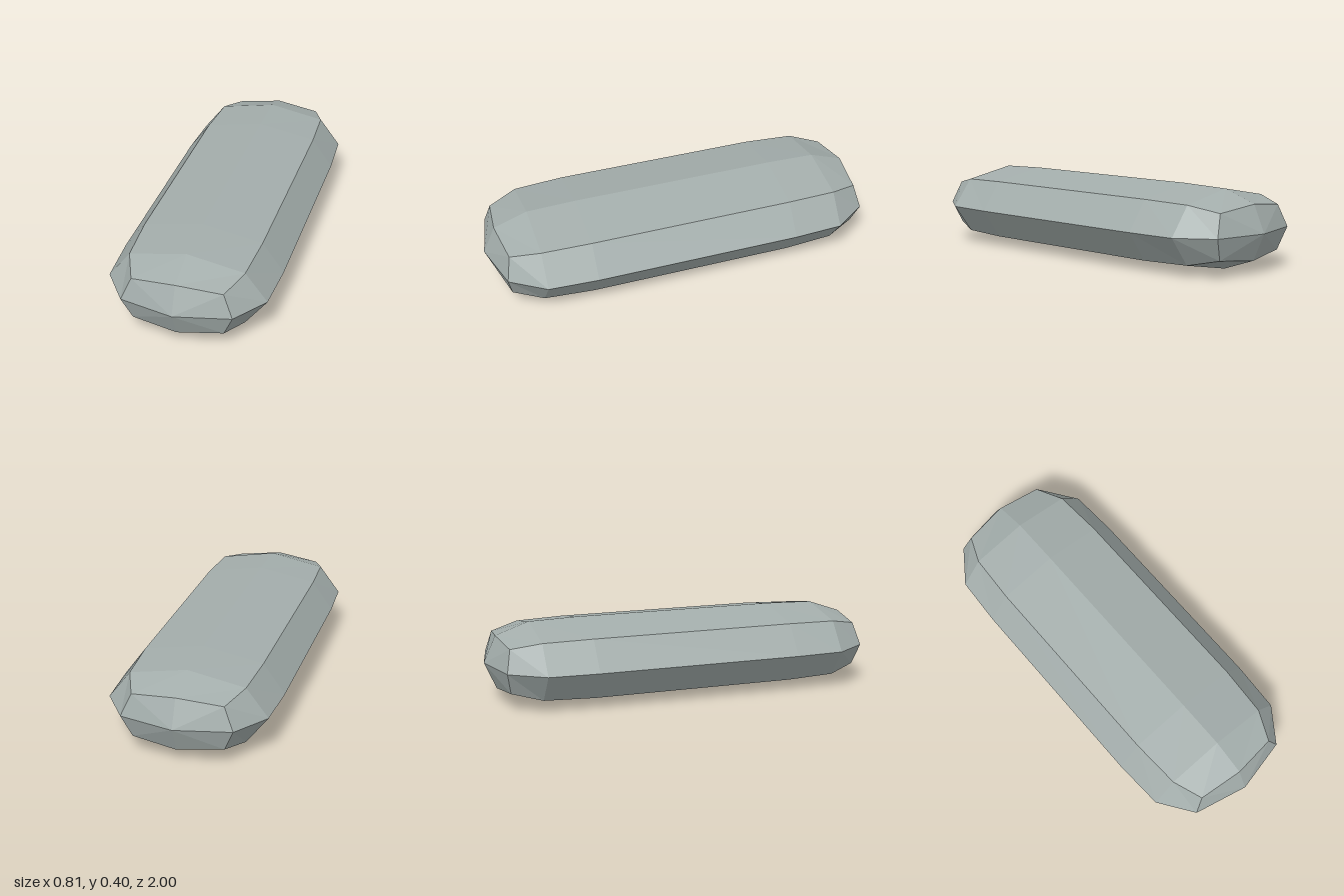
import * as THREE from 'three';

const MID = 0.2; // height of the widest line

// Half an end's cross-sections, from the middle outwards.
// Each holds three [x, y, z] points: side, shoulder and crown.
const SECTIONS = [
  [[0.403, 0, 0.52], [0.296, 0.147, 0.52], [0, 0.2, 0.52]],
  [[0.39, 0, 0.77], [0.282, 0.141, 0.77], [0, 0.193, 0.77]],
  [[0.27, 0, 0.94], [0.222, 0.11, 0.915], [0, 0.134, 0.94]],
];

// Mirror a section into a closed ring of eight points, at the front or back end
function ring([side, shoulder, crown], end) {
  const point = ([x, y, z], sx, sy) => new THREE.Vector3(x * sx, MID + y * sy, z * end);
  return [
    point(side, 1, 1), point(shoulder, 1, 1), point(crown, 1, 1), point(shoulder, -1, 1),
    point(side, -1, 1), point(shoulder, -1, -1), point(crown, 1, -1), point(shoulder, 1, -1),
  ];
}

function bodyGeometry() {
  const rings = [
    ...[...SECTIONS].reverse().map((s) => ring(s, -1)),
    ...SECTIONS.map((s) => ring(s, 1)),
  ];
  const back = new THREE.Vector3(0, MID, -1);
  const front = new THREE.Vector3(0, MID, 1);
  const corners = [];
  for (let i = 0; i < 8; i++) {
    const j = (i + 1) % 8;
    // Bands between neighbouring rings
    for (let s = 0; s < rings.length - 1; s++) {
      const a = rings[s], b = rings[s + 1];
      corners.push(a[i], a[j], b[j], a[i], b[j], b[i]);
    }
    // Shallow pointed ends
    const last = rings[rings.length - 1];
    corners.push(back, rings[0][j], rings[0][i], front, last[i], last[j]);
  }
  const geometry = new THREE.BufferGeometry().setFromPoints(corners);
  geometry.computeVertexNormals(); // unshared corners give flat facets
  return geometry;
}

export function createModel() {
  const stoneGrey = new THREE.MeshStandardMaterial({ color: 0xa3adab });
  stoneGrey.name = 'stoneGrey';
  stoneGrey.flatShading = true;

  const body = new THREE.Mesh(bodyGeometry(), stoneGrey);
  body.name = 'facetedBody';

  const model = new THREE.Group();
  model.name = 'facetedBar';
  model.add(body);
  return model;
}
